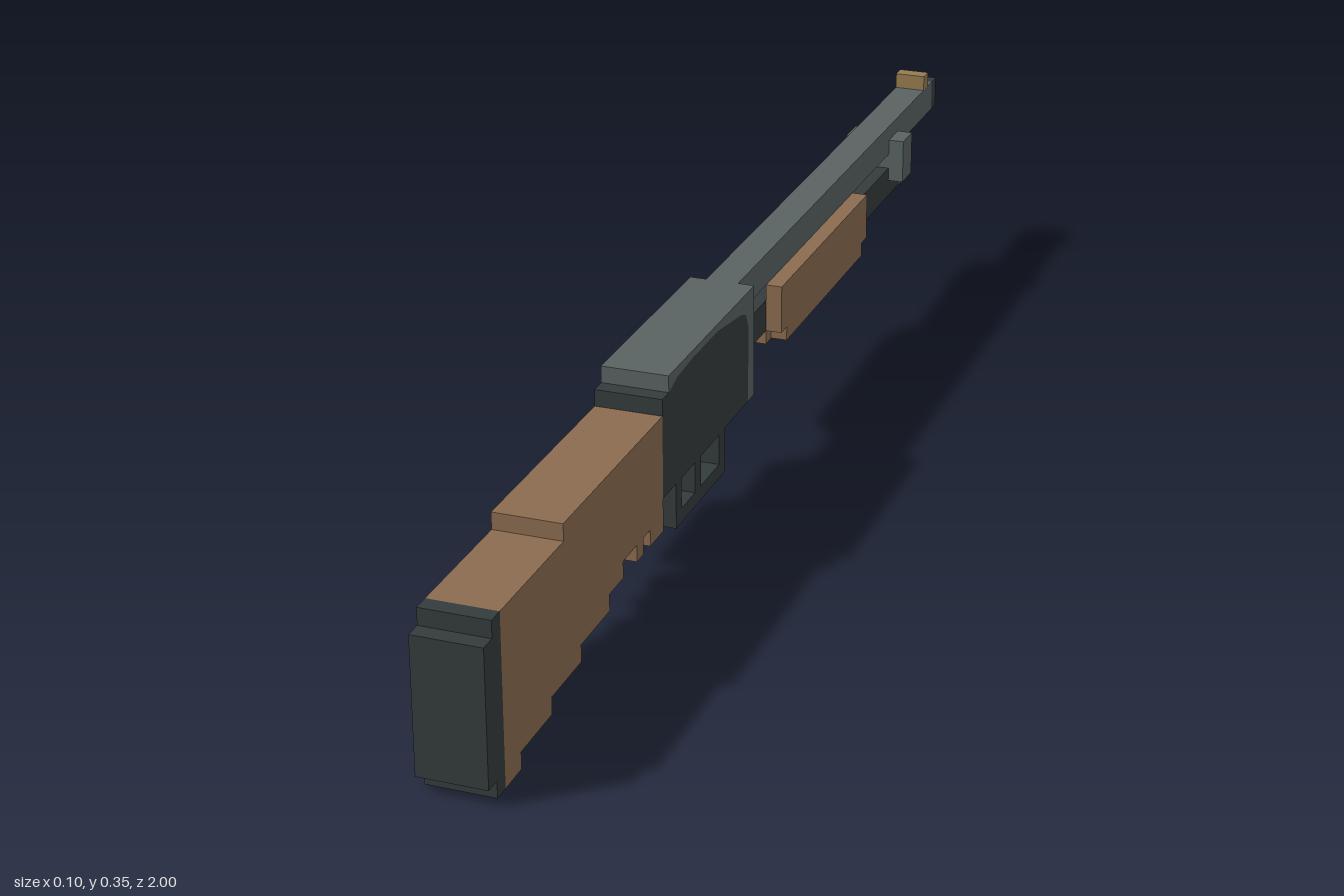
import * as THREE from 'three';

const mat = (name, color) => new THREE.MeshStandardMaterial({ name, color });

export function createModel() {
  const wood = mat('wood', 0x8a6b50);
  const grey = mat('grey metal', 0x596262);
  const dark = mat('dark metal', 0x343b3c);
  const brass = mat('brass', 0x967c50);
  const model = new THREE.Group();
  model.name = 'pumpActionLongGun';

  const add = (name, geometry, material) => {
    const mesh = new THREE.Mesh(geometry, material);
    mesh.name = name;
    model.add(mesh);
    return mesh;
  };
  // Box given by its limits on each axis
  const box = (name, material, [x0, x1], [y0, y1], [z0, z1]) =>
    add(name, new THREE.BoxGeometry(x1 - x0, y1 - y0, z1 - z0), material)
      .position.set((x0 + x1) / 2, (y0 + y1) / 2, (z0 + z1) / 2);
  // Side profile of [z, y] points, extruded across the width
  const shapeOf = (points) => new THREE.Shape(points.map(([z, y]) => new THREE.Vector2(z, y)));
  const slab = (name, material, shape, width = 0.1) => {
    const geometry = new THREE.ExtrudeGeometry(shape, { depth: width, bevelEnabled: false });
    geometry.rotateY(-Math.PI / 2).translate(width / 2, 0, 0);
    return add(name, geometry, material);
  };
  const full = [-0.05, 0.05], slim = [-0.025, 0.025];

  // Stock with a stepped underside: each entry is [rear z, front z, bottom y]
  const steps = [
    [0.95, 0.9, 0], [0.9, 0.8, 0.025], [0.8, 0.7, 0.05], [0.7, 0.6, 0.075], [0.6, 0.55, 0.1],
    [0.55, 0.5, 0.125], [0.5, 0.475, 0.1], [0.475, 0.45, 0.125], [0.45, 0.4, 0.1],
  ];
  const underside = steps.flatMap(([rear, front, y]) => [[rear, y], [front, y]]);
  slab('stock', wood, shapeOf([
    [0.4, 0.275], [0.75, 0.275], [0.75, 0.25], [0.95, 0.25], ...underside,
  ]));
  box('buttPlate', dark, full, [0, 0.25], [0.95, 0.975]);
  box('buttPad', dark, full, [0.025, 0.225], [0.975, 1]);

  // Receiver: dark body with a rounded upper line under a grey cover
  const seam = [
    [0.375, 0.3], [0.34, 0.31], [0.28, 0.314], [0.18, 0.314], [0.13, 0.307],
    [0.08, 0.3], [0.06, 0.292], [0.05, 0.27],
  ];
  slab('receiverBody', dark, shapeOf([[0.4, 0.15], [0.4, 0.3], ...seam, [0.05, 0.15]]));
  slab('receiverCover', grey, shapeOf([
    [0.375, 0.325], ...seam, [0.05, 0.15], [0.025, 0.15], [0.025, 0.325],
  ]));

  // Trigger guard with two openings
  const guard = shapeOf([[0.15, 0.08], [0.35, 0.08], [0.35, 0.15], [0.15, 0.15]]);
  for (const [z0, z1] of [[0.175, 0.25], [0.275, 0.328]]) {
    guard.holes.push(new THREE.Path([
      [z0, 0.102], [z0, 0.149], [z1, 0.149], [z1, 0.102],
    ].map(([z, y]) => new THREE.Vector2(z, y))));
  }
  slab('triggerGuard', dark, guard);

  // Barrel, muzzle and front sight
  box('barrel', grey, slim, [0.275, 0.325], [-0.975, 0.025]);
  box('muzzle', dark, slim, [0.275, 0.325], [-1, -0.975]);
  box('frontSight', brass, slim, [0.325, 0.35], [-0.95, -0.925]);

  // Magazine tube, its cap and the bracket tying it to the barrel
  box('magazineTube', dark, slim, [0.2, 0.25], [-0.787, 0.025]);
  box('magazineCap', grey, slim, [0.2, 0.25], [-0.85, -0.787]);
  box('barrelBracket', grey, full, [0.228, 0.3], [-0.775, -0.725]);

  // Pump grip: two side panels over a notched base
  for (const side of [-1, 1]) {
    const x = side > 0 ? [0.025, 0.05] : [-0.05, -0.025];
    box('gripSide', wood, x, [0.2, 0.275], [-0.525, -0.1]);
    box('gripLowerEdge', wood, x, [0.178, 0.2], [-0.5, -0.125]);
  }
  box('gripBase', wood, slim, [0.178, 0.2], [-0.525, -0.1]);

  return model;
}
